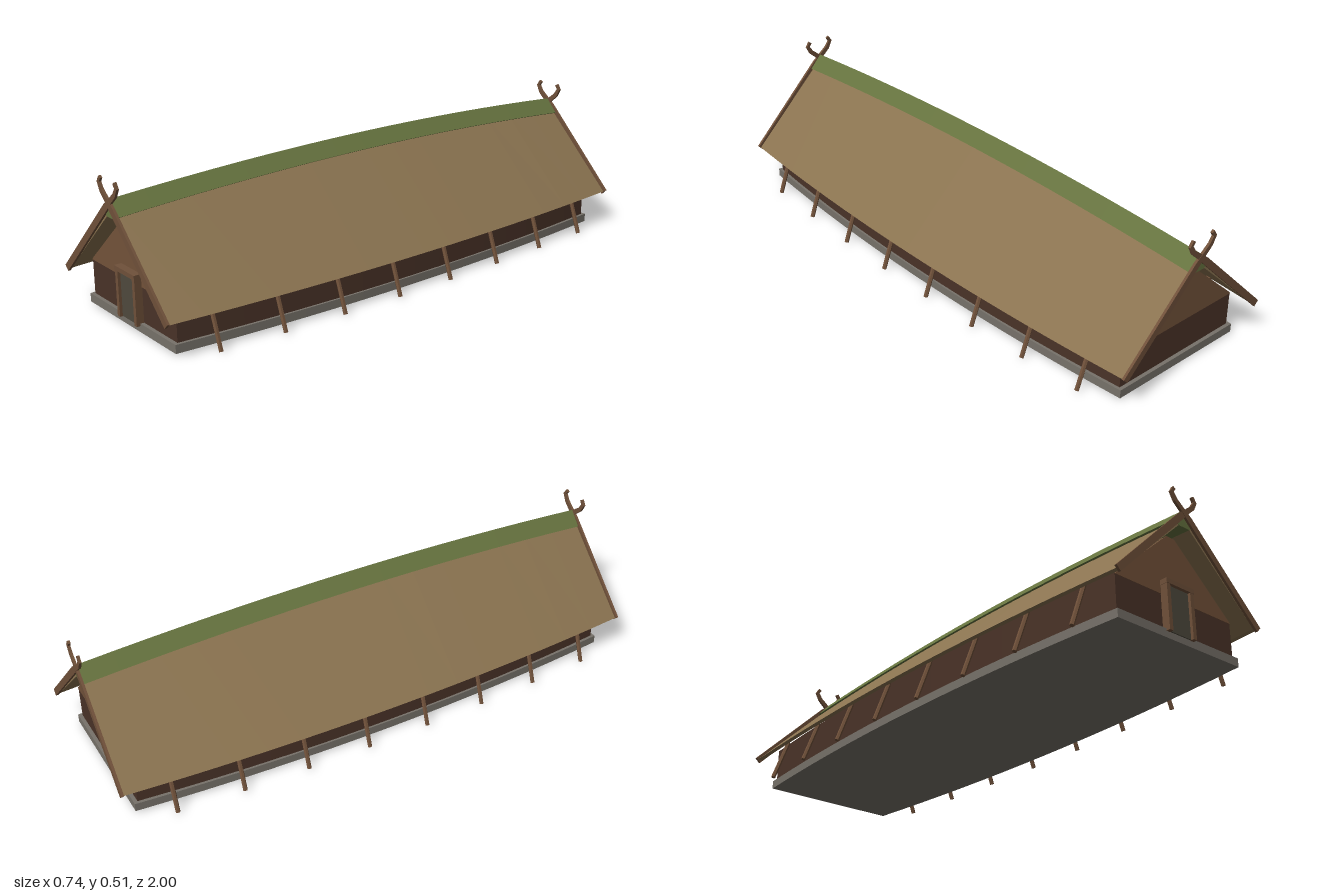
import * as THREE from 'three';

const mat = (color) => new THREE.MeshStandardMaterial({ color, flatShading: true });
const MAT = {
  thatch: mat(0x8a7350), turf: mat(0x66733f), wall: mat(0x4a3328), gable: mat(0x74533a),
  timber: mat(0x70513a), stone: mat(0x77726a), door: mat(0x4f4a3e),
};

function add(parent, name, geometry, material, x = 0, y = 0, z = 0) {
  const mesh = new THREE.Mesh(geometry, material);
  mesh.name = name;
  mesh.position.set(x, y, z);
  parent.add(mesh);
  return mesh;
}

// Solid swept along z; section(z) gives a counter-clockwise outline in x, y
function loft(section, zEnd, steps) {
  const pos = [], index = [];
  const n = section(0).length;
  for (let k = 0; k <= steps; k++) {
    const z = -zEnd + (2 * zEnd * k) / steps;
    section(z).forEach(([x, y]) => pos.push(x, y, z));
  }
  for (let k = 0; k < steps; k++) {
    for (let i = 0; i < n; i++) {
      const j = (i + 1) % n;
      const a = k * n + i, b = k * n + j, c = b + n, d = a + n;
      index.push(a, b, c, a, c, d);
    }
  }
  const outline = section(zEnd).map(([x, y]) => new THREE.Vector2(x, y));
  for (const [a, b, c] of THREE.ShapeUtils.triangulateShape(outline, [])) {
    const top = steps * n;
    index.push(top + a, top + b, top + c, a, c, b);
  }
  const g = new THREE.BufferGeometry();
  g.setAttribute('position', new THREE.Float32BufferAttribute(pos, 3));
  g.setIndex(index);
  const flat = g.toNonIndexed();
  flat.computeVertexNormals();
  return flat;
}

// Flat plank following a centre line of [x, y, half width]
function plank(points, depth) {
  const sides = [[], []];
  points.forEach(([x, y, w], i) => {
    const p = points[Math.max(i - 1, 0)], q = points[Math.min(i + 1, points.length - 1)];
    const len = Math.hypot(q[0] - p[0], q[1] - p[1]);
    const nx = (-(q[1] - p[1]) / len) * w, ny = ((q[0] - p[0]) / len) * w;
    sides[0].push(new THREE.Vector2(x + nx, y + ny));
    sides[1].unshift(new THREE.Vector2(x - nx, y - ny));
  });
  const shape = new THREE.Shape([...sides[0], ...sides[1]]);
  return new THREE.ExtrudeGeometry(shape, { depth, bevelEnabled: false });
}

// Square-ish pole between two points
function pole(a, b, r) {
  const dir = b.clone().sub(a);
  const g = new THREE.CylinderGeometry(r, r, dir.length(), 6);
  g.applyQuaternion(new THREE.Quaternion().setFromUnitVectors(
    new THREE.Vector3(0, 1, 0), dir.normalize()));
  const mid = a.clone().add(b).multiplyScalar(0.5);
  return g.translate(mid.x, mid.y, mid.z);
}

// Plan and ridge curves: widest and highest in the middle
const eave = (z) => 0.355 - 0.045 * z * z;
const ridge = (z) => 0.48 - 0.035 * z * z;
const wallX = (z) => 0.305 - 0.05 * (z / 0.93) ** 2;
const baseX = (z) => 0.312 - 0.047 * (z / 0.94) ** 2;

const block = (halfWidth, y0, y1) => (z) => {
  const w = halfWidth(z);
  return [[-w, y0], [w, y0], [w, y1], [-w, y1]];
};

export function createModel() {
  const house = new THREE.Group();
  house.name = 'longhouse';

  // Curved footing and walls
  add(house, 'foundation', loft(block(baseX, 0.006, 0.036), 0.943, 16), MAT.stone);
  add(house, 'walls', loft(block(wallX, 0.03, 0.16), 0.93, 16), MAT.wall);

  // Thatched roof, an inverted V with thickness
  add(house, 'roof', loft((z) => {
    const e = eave(z), top = ridge(z) - 0.016;
    return [[e, 0.13], [0, top], [-e, 0.13], [-e + 0.018, 0.13], [0, top - 0.023], [e - 0.018, 0.13]];
  }, 0.99, 16), MAT.thatch);

  // Turf strip along the ridge
  add(house, 'ridgeCap', loft((z) => {
    const r = ridge(z);
    return [[0.045, r - 0.05], [0, r], [-0.045, r - 0.05], [-0.022, r - 0.063], [0.022, r - 0.063]];
  }, 0.992, 16), MAT.turf);

  for (const end of [1, -1]) {
    const name = end > 0 ? 'front' : 'back';

    // Gable panel above the end wall
    const gable = new THREE.Shape();
    gable.moveTo(-0.255, 0.157);
    gable.lineTo(0.255, 0.157);
    gable.lineTo(0.248, 0.166);
    gable.lineTo(0.017, 0.375);
    gable.lineTo(-0.017, 0.375);
    gable.lineTo(-0.248, 0.166);
    const panel = new THREE.ExtrudeGeometry(gable, { depth: 0.02, bevelEnabled: false });
    add(house, name + 'Gable', panel, MAT.gable, 0, 0, end * 0.922 - 0.01);

    // Crossed barge boards ending in curved horns
    for (const s of [1, -1]) {
      const board = plank([
        [s * 0.31, 0.127, 0.012], [s * 0.02, 0.414, 0.012], [-s * 0.012, 0.443, 0.009],
        [-s * 0.039, 0.466, 0.008], [-s * 0.053, 0.491, 0.007], [-s * 0.042, 0.508, 0.006],
      ], 0.009);
      add(house, name + 'BargeBoard', board, MAT.timber, 0, 0, end * (s > 0 ? 0.9955 : 0.9945) - 0.0045);
    }
  }

  // Front door with its frame
  const door = new THREE.Group();
  door.name = 'door';
  house.add(door);
  add(door, 'doorPanel', new THREE.BoxGeometry(0.09, 0.157, 0.016), MAT.door, 0, 0.1075, 0.939);
  for (const s of [1, -1]) {
    add(door, 'doorPost', new THREE.BoxGeometry(0.015, 0.16, 0.03), MAT.timber, s * 0.052, 0.108, 0.942);
  }
  add(door, 'lintel', new THREE.BoxGeometry(0.122, 0.016, 0.033), MAT.timber, 0, 0.194, 0.942);

  // Slanting props along both long walls
  for (const s of [1, -1]) {
    for (let i = 0; i < 8; i++) {
      const z = -0.824 + i * (1.648 / 7);
      const x = eave(z) + 0.009;
      const foot = new THREE.Vector3(s * x, 0.003, z);
      const head = new THREE.Vector3(s * (x - 0.057), 0.158, z);
      add(house, 'prop', pole(foot, head, 0.008), MAT.timber);
    }
  }
  return house;
}
